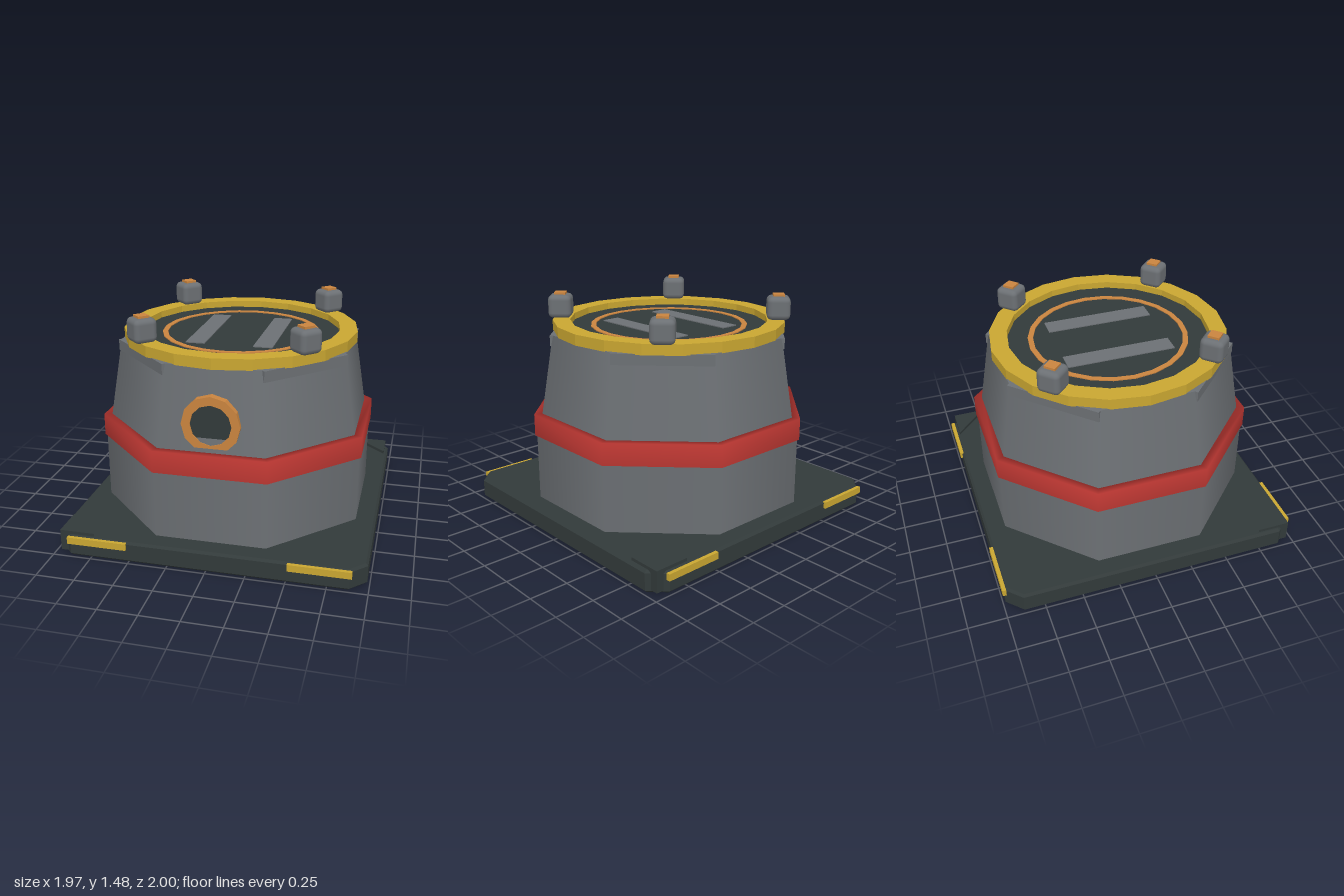
import * as THREE from 'three';
import { RoundedBoxGeometry } from 'three/addons/geometries/RoundedBoxGeometry.js';

const mat = (name, color) => Object.assign(new THREE.MeshStandardMaterial({ color }), { name });
const OCT = 1 / Math.cos(Math.PI / 8); // apothem to corner radius of an octagon

export function createModel() {
  const model = new THREE.Group();
  model.name = 'landingPad';
  const dark = mat('dark slate', 0x323a3a);
  const grey = mat('grey', 0x6c7074);
  const red = mat('red', 0xb93631);
  const yellow = mat('yellow', 0xc9a631);
  const orange = mat('orange', 0xc9843f);

  const add = (name, geometry, material, x = 0, y = 0, z = 0, turn = 0) => {
    const mesh = new THREE.Mesh(geometry, material);
    mesh.name = name;
    mesh.position.set(x, y, z);
    mesh.rotation.y = turn;
    model.add(mesh);
    return mesh;
  };
  const flat = (geometry) => {
    const g = geometry.toNonIndexed();
    g.computeVertexNormals();
    return g;
  };
  // Profile points are [radius, height]
  const lathe = (points, sides, start = 0) =>
    new THREE.LatheGeometry(points.map(([r, y]) => new THREE.Vector2(r, y)), sides, start);
  const octagon = (points) => lathe(points.map(([a, y]) => [a * OCT, y]), 8, Math.PI / 8);
  // Flat ring with a rectangular section
  const ringProfile = (inner, outer, y0, y1) =>
    [[outer, y0], [outer, y1], [inner, y1], [inner, y0], [outer, y0]];
  const ring = (inner, outer, y0, y1, sides) => flat(lathe(ringProfile(inner, outer, y0, y1), sides));
  // Upright prism from a plan outline
  const prism = (points, depth, bevel = 0) => {
    const shape = new THREE.Shape(points.map(([x, y]) => new THREE.Vector2(x, y)));
    const g = new THREE.ExtrudeGeometry(shape, {
      depth: depth - 2 * bevel, bevelEnabled: bevel > 0, bevelSize: bevel,
      bevelThickness: bevel, bevelSegments: 1, bevelOffset: -bevel,
    });
    return g.rotateX(-Math.PI / 2).translate(0, bevel, 0);
  };

  // Base slab with cut corners
  const S = 0.985, C = 0.885;
  add('baseSlab', prism([[S, -C], [S, C], [C, S], [-C, S], [-S, C], [-S, -C], [-C, -S], [C, -S]], 0.14, 0.015), dark);

  // Raised gussets filling two opposite corners
  for (const turn of [0, Math.PI]) {
    add('cornerGusset', prism([[0.73, 0.96], [0.96, 0.96], [0.96, 0.74]], 0.14), dark, 0, 0.02, 0, turn);
  }

  // Warning strips on the front and back edges
  for (const sx of [-1, 1]) for (const sz of [-1, 1]) {
    add('edgeStrip', new THREE.BoxGeometry(0.39, 0.045, 0.025), yellow, sx * 0.705, 0.112, sz * 0.9875);
  }

  // Octagonal tower in two stages with a belt between them
  add('lowerTower', octagon([[0.855, 0.12], [0.855, 0.62]]), grey);
  add('upperTower', octagon([[0.825, 0.68], [0.735, 1.25]]), grey);
  add('towerTop', new THREE.CircleGeometry(0.735 * OCT, 8, Math.PI / 8).rotateX(-Math.PI / 2), grey, 0, 1.25, 0);
  add('belt', octagon(ringProfile(0.815, 0.868, 0.585, 0.73)), red);

  // Clamps under the rim on the four diagonal faces
  for (let i = 0; i < 4; i++) {
    const a = Math.PI / 4 + i * Math.PI / 2;
    add('rimClamp', new THREE.BoxGeometry(0.62, 0.07, 0.06), grey,
      Math.sin(a) * 0.722, 1.215, Math.cos(a) * 0.722, a);
  }

  // Deck, rim and painted landing marks
  add('deck', new THREE.CylinderGeometry(0.67, 0.67, 0.03, 24), dark, 0, 1.256, 0);
  add('rim', ring(0.66, 0.775, 1.245, 1.315, 20), yellow);
  add('targetCircle', ring(0.49, 0.525, 1.27, 1.277, 24), orange);
  for (const s of [-1, 1]) {
    add('guideBar', new THREE.BoxGeometry(0.125, 0.008, 0.71), grey, s * 0.22, 1.273, 0);
  }

  // Round window sunk into the sloping front wall
  add('windowFrame', ring(0.13, 0.185, 0.74, 0.813, 12).rotateX(Math.PI / 2), orange, 0, 0.905, 0);
  add('windowPane', new THREE.CircleGeometry(0.14, 12), dark, 0, 0.905, 0.803);

  // Corner lamps standing on the rim
  for (const sx of [-1, 1]) for (const sz of [-1, 1]) {
    const x = sx * 0.515, z = sz * 0.515;
    add('lampHousing', new RoundedBoxGeometry(0.155, 0.155, 0.155, 2, 0.035), grey, x, 1.388, z, Math.PI / 4);
    add('lampLens', new THREE.BoxGeometry(0.075, 0.03, 0.075), orange, x, 1.465, z, Math.PI / 4);
  }
  return model;
}
